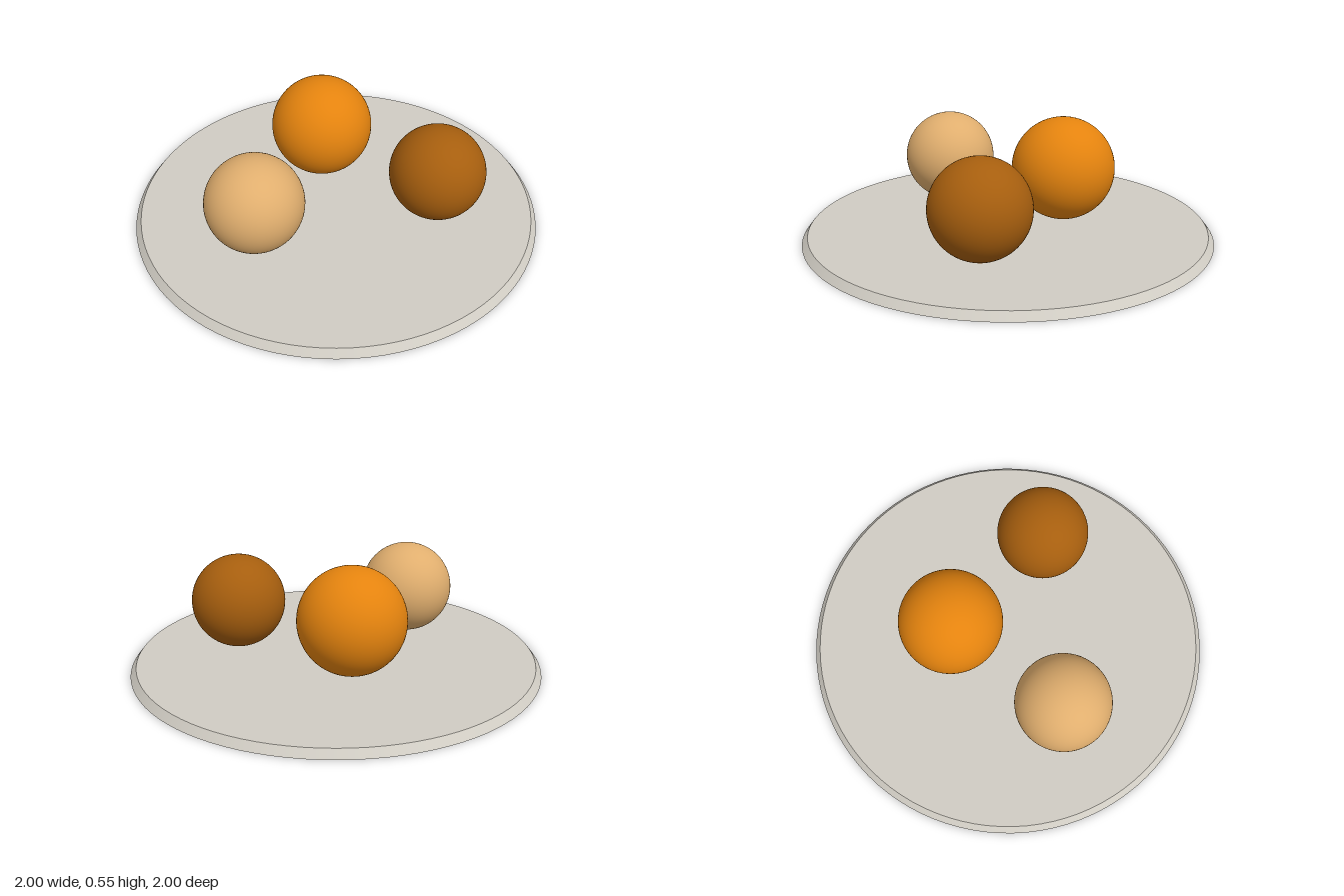
import * as THREE from 'three';

const paint = (name, color) => {
  const material = new THREE.MeshStandardMaterial({ color });
  material.name = name;
  return material;
};

export function createModel() {
  const group = new THREE.Group();
  group.name = 'platedBalls';

  const add = (name, geometry, material, x, y, z) => {
    const mesh = new THREE.Mesh(geometry, material);
    mesh.name = name;
    mesh.position.set(x, y, z);
    group.add(mesh);
  };

  // Thin round plate with a bevelled rim
  const plateHeight = 0.035;
  add('plate', new THREE.CylinderGeometry(0.972, 1, plateHeight, 96),
    paint('warm grey', 0xd0ccc3), 0, plateHeight / 2, 0);

  // Three balls resting on the plate
  const balls = [
    ['backBall', 0.255, 0, 0.294, -0.28, paint('amber', 0xe4830e)],
    ['rightBall', 0.232, -0.445, 0.269, 0.22, paint('tan', 0xe0ae6e)],
    ['leftBall', 0.232, 0.445, 0.269, 0.22, paint('brown', 0xa65e0e)],
  ];
  for (const [name, radius, x, y, z, material] of balls) {
    add(name, new THREE.SphereGeometry(radius, 64, 40), material, x, y, z);
  }

  return group;
}
